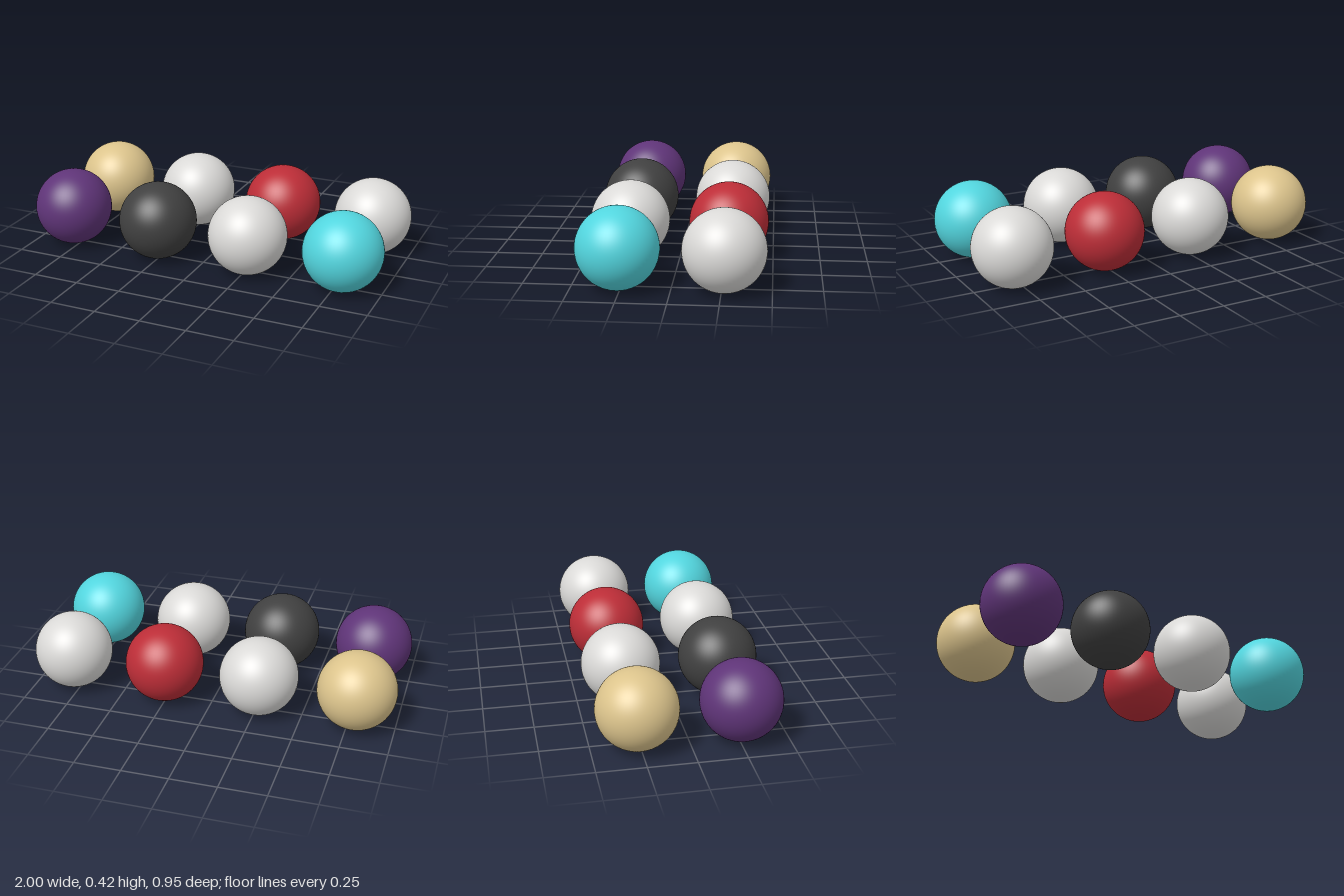
import * as THREE from 'three';

const paint = (name, color) => {
  const m = new THREE.MeshStandardMaterial({ color });
  m.name = name;
  return m;
};

export function createModel() {
  const group = new THREE.Group();
  group.name = 'sphereGrid';

  const purple = paint('purple', 0x5f3478);
  const charcoal = paint('charcoal', 0x404040);
  const paleGrey = paint('paleGrey', 0xdad9d7);
  const cyan = paint('cyan', 0x52d5de);
  const gold = paint('gold', 0xdcc48c);
  const red = paint('red', 0xbc2d37);

  // Two rows of four equal balls, spaced 2.5 radii apart
  const radius = 2 / 9.5;
  const spacing = radius * 2.5;
  const ball = new THREE.SphereGeometry(radius, 64, 40);
  const rows = [
    { name: 'front', z: spacing / 2, colors: [purple, charcoal, paleGrey, cyan] },
    { name: 'back', z: -spacing / 2, colors: [gold, paleGrey, red, paleGrey] },
  ];

  for (const row of rows) {
    row.colors.forEach((material, i) => {
      const mesh = new THREE.Mesh(ball, material);
      mesh.name = `${row.name}Ball${i + 1}`;
      mesh.position.set((i - 1.5) * spacing, radius, row.z);
      group.add(mesh);
    });
  }
  return group;
}
